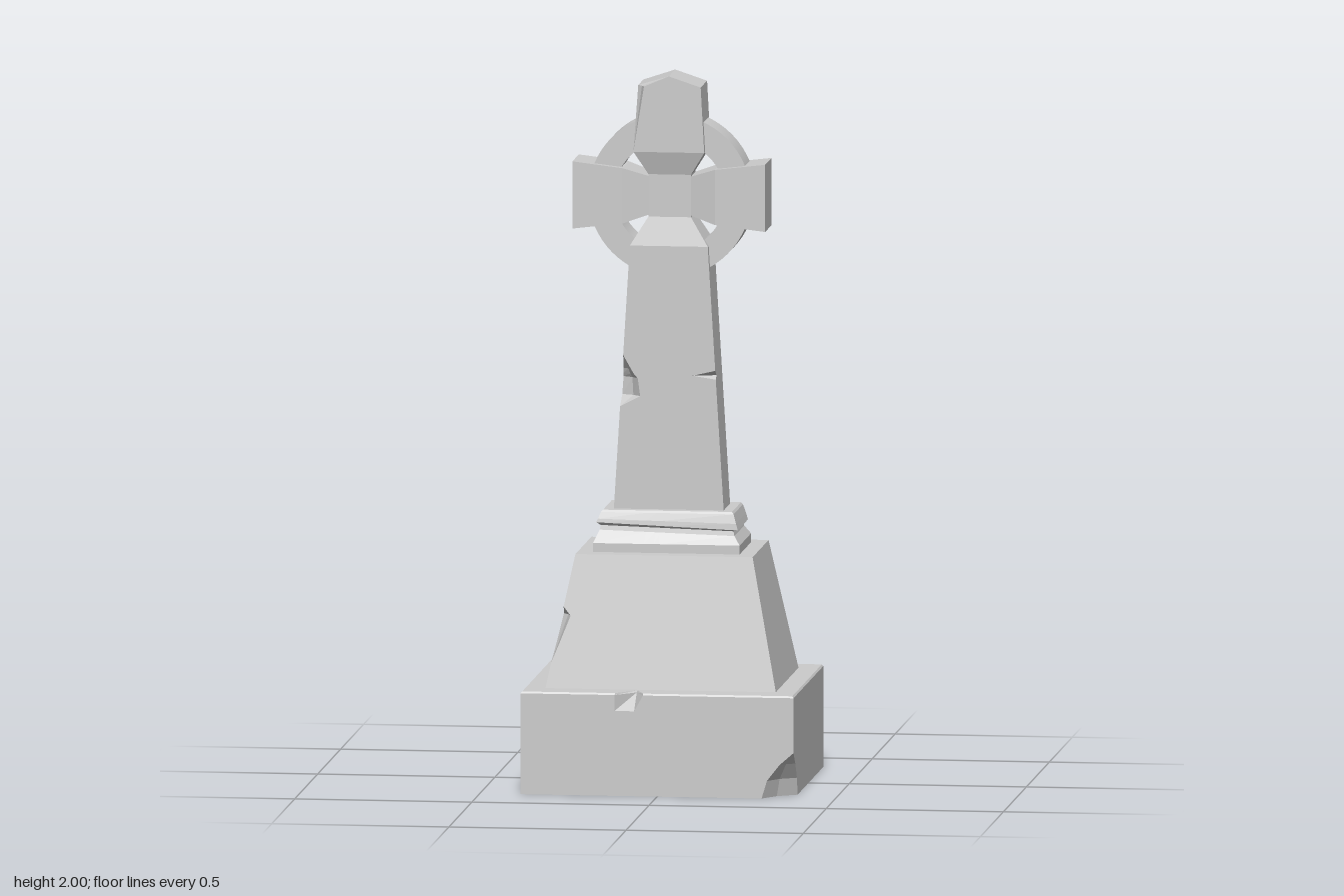
import * as THREE from 'three';
import { toCreasedNormals } from 'three/addons/utils/BufferGeometryUtils.js';

const stone = new THREE.MeshStandardMaterial({ color: 0xcccccc, flatShading: true, side: THREE.DoubleSide });
const smoothStone = new THREE.MeshStandardMaterial({ color: 0xcccccc });

// Rectangular cross-section of half sizes hx, hz at height y.
// chipA / chipB: [dx, dz] broken off the front corners at -x / +x; nick: depth of a notch in the front edge.
function ring(y, hx, hz, { chipA = [0, 0], chipB = [0, 0], nick = 0, tilt = 0 } = {}) {
  const [ax, az] = chipA, [bx, bz] = chipB;
  const nx = Math.min(1, hx / 0.385);
  const points = [
    [-hx, hz - az], [-hx + ax * 0.6, hz - az * 0.6], [-hx + ax, hz],
    [-0.12 * nx, hz], [-0.065 * nx, hz - nick], [-0.04 * nx, hz],
    [hx - bx, hz], [hx - bx * 0.6, hz - bz * 0.6], [hx, hz - bz],
    [hx, -hz], [-hx, -hz],
  ];
  return points.map(([x, z]) => new THREE.Vector3(x, y + tilt * x, z));
}

// Skin a stack of cross-sections, optionally closing both ends.
function loft(rings, closed = false) {
  const pos = [];
  const tri = (...v) => v.forEach((p) => pos.push(p.x, p.y, p.z));
  const n = rings[0].length;
  for (let i = 0; i < rings.length - 1; i++) {
    for (let j = 0; j < n; j++) {
      const k = (j + 1) % n;
      const a = rings[i][j], b = rings[i][k], c = rings[i + 1][k], d = rings[i + 1][j];
      tri(a, b, c);
      tri(a, c, d);
    }
  }
  if (closed) {
    const cap = (r, up) => {
      const mid = new THREE.Vector3(0, r[0].y, 0);
      for (let j = 0; j < n; j++) {
        const k = (j + 1) % n;
        up ? tri(mid, r[j], r[k]) : tri(mid, r[k], r[j]);
      }
    };
    cap(rings[0], false);
    cap(rings[rings.length - 1], true);
  }
  const geo = new THREE.BufferGeometry();
  geo.setAttribute('position', new THREE.Float32BufferAttribute(pos, 3));
  geo.computeVertexNormals();
  return geo;
}

export function createModel() {
  const model = new THREE.Group();
  const add = (name, geo, mat = stone) => {
    const mesh = new THREE.Mesh(geo, mat);
    mesh.name = name;
    model.add(mesh);
    return mesh;
  };
  const crossY = 1.66;

  // Plinth, open underneath, with a broken bottom corner and a nick in its top edge
  add('plinth', loft([
    ring(0, 0.385, 0.325, { chipB: [0.09, 0.09] }),
    ring(0.05, 0.385, 0.325, { chipB: [0.075, 0.075] }),
    ring(0.095, 0.385, 0.325, { chipB: [0.04, 0.04] }),
    ring(0.13, 0.385, 0.325),
    ring(0.24, 0.385, 0.325),
    ring(0.285, 0.385, 0.325, { nick: 0.06 }),
    ring(0.29, 0.381, 0.321, { nick: 0.065 }),
    ring(0.29, 0.325, 0.247),
  ]));

  // Tapered pedestal with a worn front edge
  const taper = (y, opt) => {
    const t = (y - 0.29) / 0.37;
    return ring(y, 0.325 - 0.075 * t, 0.247 - 0.073 * t, opt);
  };
  add('pedestal', loft([
    taper(0.29), taper(0.36),
    taper(0.42, { chipA: [0.012, 0.03] }),
    taper(0.49, { chipA: [0.025, 0.05] }),
    taper(0.515),
    taper(0.66),
    ring(0.66, 0.2, 0.12),
  ]));

  // Moulded collar with a slanting crack
  add('collar', loft([
    ring(0.66, 0.207, 0.125),
    ring(0.685, 0.207, 0.125),
    ring(0.715, 0.19, 0.107, { tilt: -0.03 }),
    ring(0.728, 0.187, 0.104, { tilt: -0.03 }),
    ring(0.734, 0.2, 0.112, { tilt: -0.04 }),
    ring(0.748, 0.195, 0.11, { tilt: -0.02 }),
    ring(0.77, 0.187, 0.103),
    ring(0.776, 0.182, 0.098),
    ring(0.776, 0.15, 0.065),
  ]));

  // Shaft with a gouge on one front edge, a thin crack on the other, and a tapered neck
  const shaft = (y, opt) => ring(y, 0.155 - 0.045 * (y - 0.775) / 0.745, 0.07, opt);
  add('shaft', loft([
    shaft(0.775), shaft(1.065),
    shaft(1.095, { chipA: [0.055, 0.035] }),
    shaft(1.145, { chipA: [0.045, 0.04], chipB: [0, 0] }),
    shaft(1.155, { chipA: [0.035, 0.035], chipB: [0.065, 0.02] }),
    shaft(1.17, { chipA: [0.025, 0.03] }),
    shaft(1.21), shaft(1.52),
    ring(1.6, 0.06, 0.05),
  ], true));

  // Centre of the cross
  add('crossCentre', new THREE.BoxGeometry(0.12, 0.12, 0.1).translate(0, crossY, 0));

  // Gabled top arm
  add('topArm', loft([
    ring(1.72, 0.06, 0.05),
    ring(1.785, 0.1, 0.07),
    ring(1.97, 0.09, 0.07, { chipA: [0.02, 0.03] }),
    ring(2, 0, 0.07),
  ], true));

  // Side arms, flaring outwards
  for (const [name, side] of [['leftArm', 1], ['rightArm', -1]]) {
    add(name, loft([
      ring(0.06, 0.055, 0.05),
      ring(0.13, 0.078, 0.07),
      ring(0.272, 0.095, 0.07),
    ], true).rotateZ(-side * Math.PI / 2).translate(0, crossY, 0));
  }

  // Ring joining the arms
  const circle = new THREE.Shape().absarc(0, 0, 0.23, 0, Math.PI * 2);
  circle.holes.push(new THREE.Path().absarc(0, 0, 0.157, 0, Math.PI * 2, true));
  const halo = new THREE.ExtrudeGeometry(circle, { depth: 0.1, bevelEnabled: false, curveSegments: 32 });
  add('crossRing', toCreasedNormals(halo.translate(0, crossY, -0.05), 0.6), smoothStone);

  return model;
}
